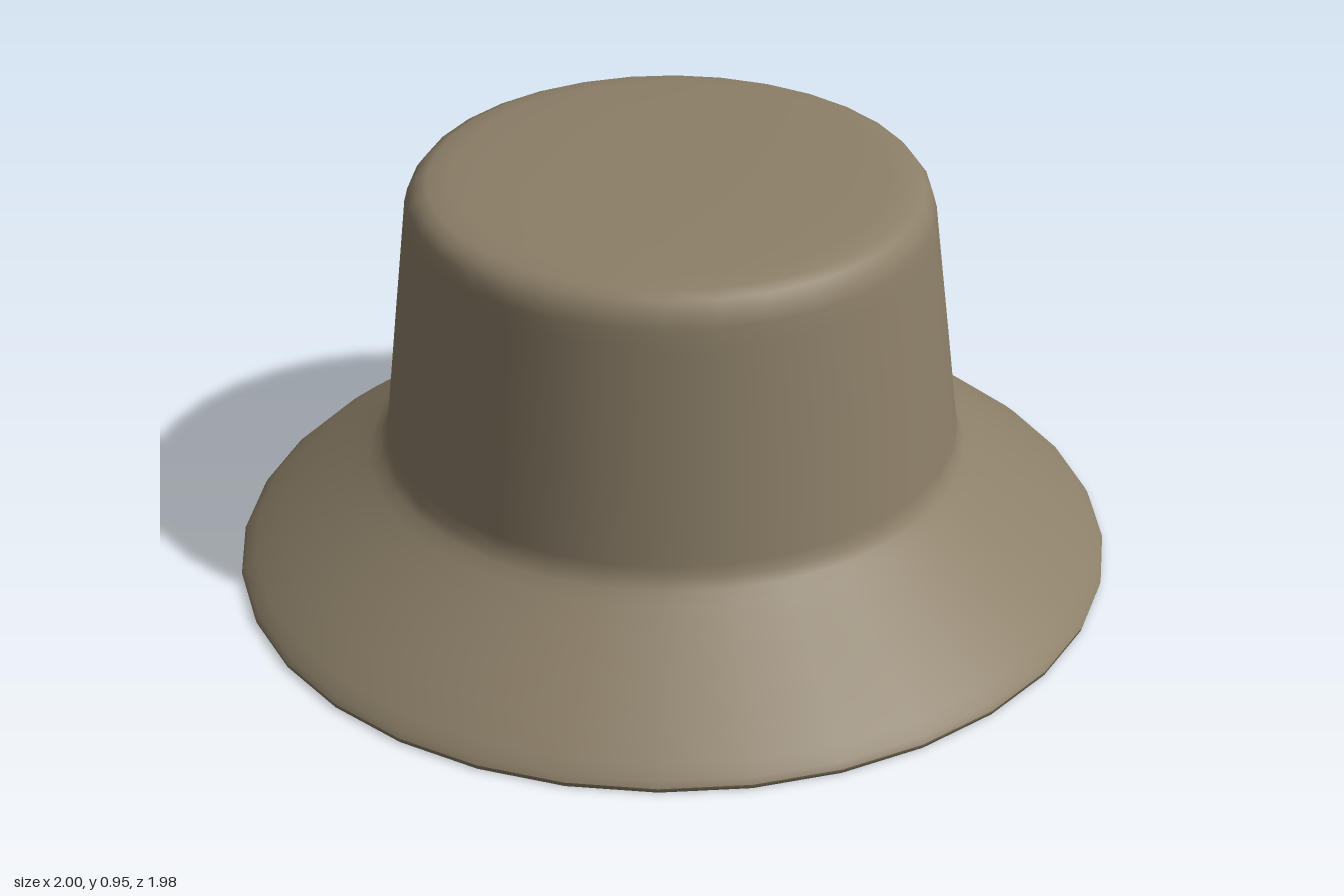
import * as THREE from 'three';

const SEGMENTS = 32;

// Revolve a profile, then lean the crown slightly and narrow the brim front to back
function revolve(name, profile, material) {
  const geometry = new THREE.LatheGeometry(profile.map(([r, y]) => new THREE.Vector2(r, y)), SEGMENTS);
  const pos = geometry.attributes.position;
  for (let i = 0; i < pos.count; i++) {
    const y = pos.getY(i);
    pos.setX(i, pos.getX(i) - 0.013 * y);
    pos.setZ(i, pos.getZ(i) * THREE.MathUtils.lerp(0.987, 1, Math.min(y / 0.3, 1)));
  }
  const mesh = new THREE.Mesh(geometry, material);
  mesh.name = name;
  return mesh;
}

export function createModel() {
  const felt = new THREE.MeshStandardMaterial({ color: 0x8c7f68 });
  felt.name = 'khaki felt';

  // Outside of the hat, from the brim edge up to the middle of the top
  const outer = [
    [1, 0.012], [0.992, 0.026], [0.965, 0.051], [0.9, 0.103], [0.82, 0.162], [0.74, 0.221],
    [0.69, 0.259], [0.665, 0.281], [0.65, 0.302], [0.644, 0.33], [0.618, 0.56], [0.588, 0.82],
    [0.583, 0.865], [0.575, 0.895], [0.557, 0.919], [0.53, 0.932], [0.48, 0.939], [0.35, 0.945],
    [0.18, 0.948], [0, 0.949],
  ];

  // Inside of the hat, from the middle of the top down to the brim edge
  const inner = [
    [0, 0.93], [0.35, 0.926], [0.48, 0.92], [0.53, 0.912], [0.555, 0.89], [0.566, 0.85],
    [0.6, 0.56], [0.626, 0.33], [0.632, 0.295], [0.65, 0.268], [0.69, 0.237], [0.74, 0.2],
    [0.82, 0.141], [0.9, 0.081], [0.96, 0.032], [0.982, 0.01], [0.988, 0],
  ];

  const hat = new THREE.Group();
  hat.name = 'hat';
  hat.add(
    revolve('crownAndBrim', outer, felt),
    revolve('lining', inner, felt),
    revolve('brimEdge', [[0.988, 0], [0.998, 0.002], [1, 0.012]], felt),
  );
  return hat;
}
